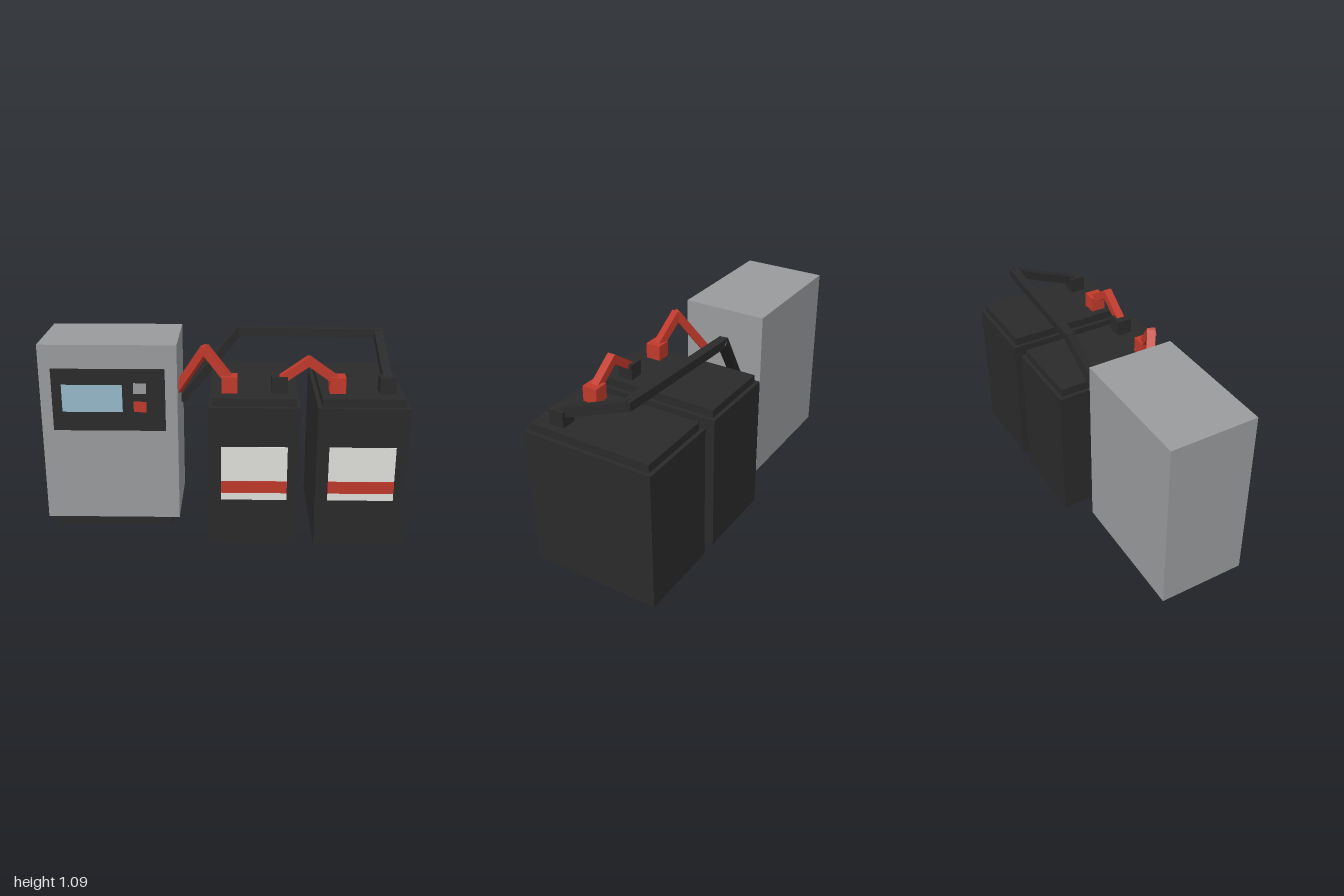
import * as THREE from 'three';

const mat = (name, color) => {
  const m = new THREE.MeshStandardMaterial({ color });
  m.name = name;
  return m;
};

export function createModel() {
  const grey = mat('cabinet grey', 0x999b9d);
  const black = mat('black plastic', 0x2a2a2a);
  const red = mat('red', 0xc0392b);
  const white = mat('label white', 0xe0e0dc);
  const blue = mat('screen blue', 0x96b9cb);

  const model = new THREE.Group();
  model.name = 'batteryStation';

  // Box given by its minimum and maximum on each axis
  const box = (parent, name, material, [x0, x1], [y0, y1], [z0, z1]) => {
    const mesh = new THREE.Mesh(new THREE.BoxGeometry(x1 - x0, y1 - y0, z1 - z0), material);
    mesh.position.set((x0 + x1) / 2, (y0 + y1) / 2, (z0 + z1) / 2);
    mesh.name = name;
    parent.add(mesh);
  };

  const group = (name) => {
    const g = new THREE.Group();
    g.name = name;
    model.add(g);
    return g;
  };

  // Square-section cable through a few points, slightly overlapping at bends
  const cable = (name, material, points, width = 0.046) => {
    const g = group(name);
    const p = points.map((a) => new THREE.Vector3(...a));
    for (let i = 0; i < p.length - 1; i++) {
      const dir = p[i + 1].clone().sub(p[i]);
      const startLap = i > 0 ? 0.012 : 0;
      const endLap = i < p.length - 2 ? 0.012 : 0;
      const length = dir.length() + startLap + endLap;
      dir.normalize();
      const seg = new THREE.Mesh(new THREE.BoxGeometry(width, width, length), material);
      seg.position.copy(p[i]).addScaledVector(dir, length / 2 - startLap);
      seg.lookAt(seg.position.clone().add(dir));
      seg.name = name + 'Segment';
      g.add(seg);
    }
  };

  // Inverter cabinet with plinth and control panel
  const cabinet = group('cabinet');
  box(cabinet, 'plinth', black, [-0.95, -0.29], [0, 0.07], [-0.25, 0.15]);
  box(cabinet, 'cabinetBody', grey, [-1, -0.245], [0.07, 1.09], [-0.295, 0.193]);
  box(cabinet, 'controlPanel', black, [-0.935, -0.312], [0.602, 0.957], [0.19, 0.197]);
  box(cabinet, 'screen', blue, [-0.88, -0.547], [0.712, 0.867], [0.194, 0.2]);
  box(cabinet, 'greyButton', grey, [-0.486, -0.415], [0.818, 0.878], [0.194, 0.2]);
  box(cabinet, 'redButton', red, [-0.486, -0.415], [0.712, 0.772], [0.194, 0.2]);

  // Two identical batteries
  for (const [name, x] of [['innerBattery', 0.175], ['outerBattery', 0.755]]) {
    const b = group(name);
    b.position.x = x;
    box(b, 'case', black, [-0.245, 0.245], [0, 0.8], [-0.382, 0.372]);
    box(b, 'lid', black, [-0.222, 0.222], [0.8, 0.845], [-0.36, 0.353]);
    box(b, 'label', white, [-0.178, 0.18], [0.27, 0.58], [0.368, 0.375]);
    box(b, 'labelStripe', red, [-0.178, 0.18], [0.312, 0.382], [0.371, 0.378]);
    box(b, 'positiveTerminal', red, [-0.177, -0.091], [0.845, 0.933], [0.174, 0.261]);
    box(b, 'negativeTerminal', black, [0.091, 0.177], [0.845, 0.933], [0.174, 0.261]);
  }

  // Cables
  cable('positiveCable', red, [[-0.255, 0.8, 0.065], [-0.092, 1.065, 0.172], [0.041, 0.905, 0.217]]);
  cable('bridgeCable', red, [[0.309, 0.905, 0.217], [0.465, 1.016, 0.217], [0.621, 0.905, 0.217]]);
  cable('negativeCable', black, [
    [-0.252, 0.67, -0.142], [0.085, 1.068, -0.232], [0.888, 1.068, -0.19], [0.888, 0.905, 0.217],
  ], 0.048);

  return model;
}
